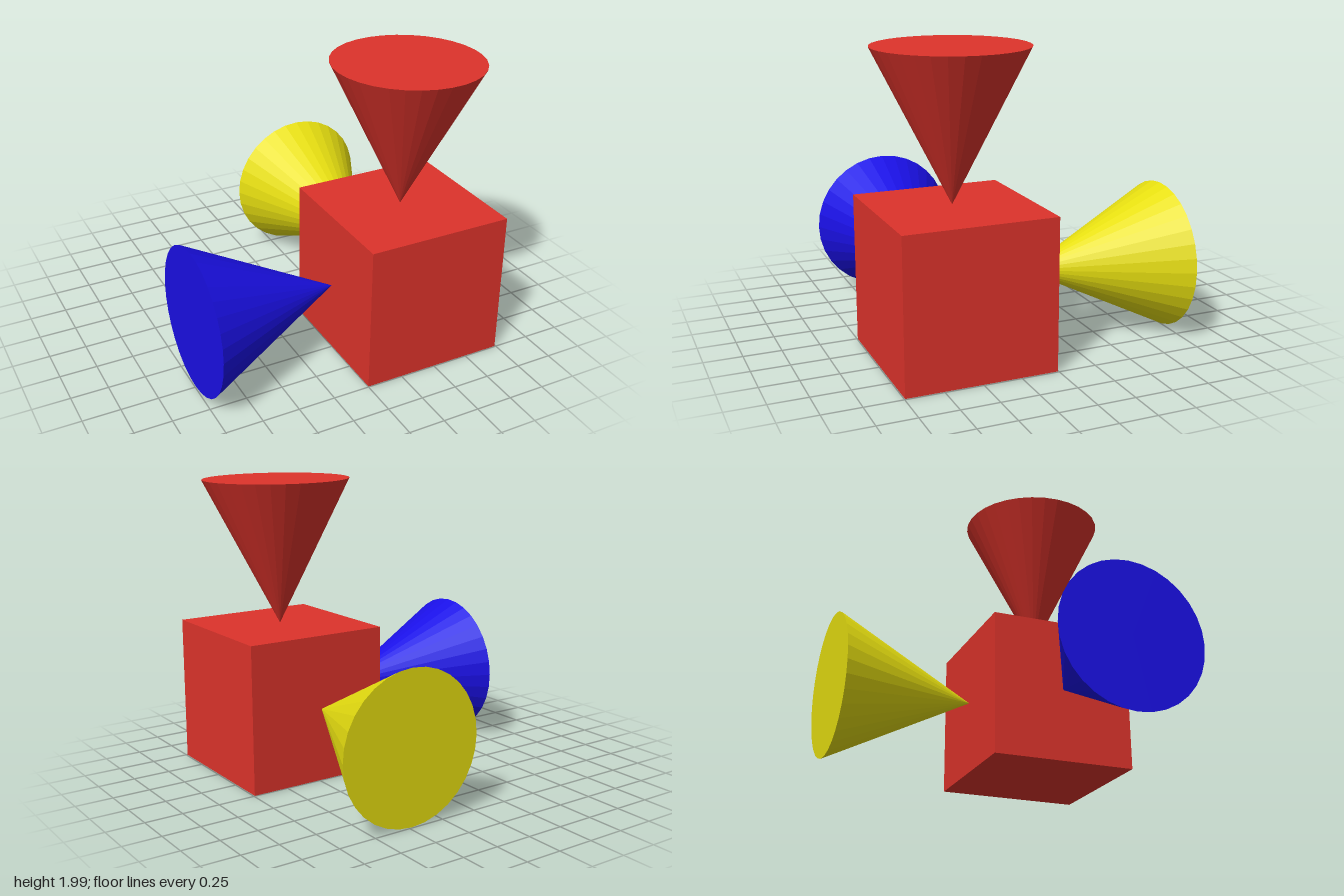
import * as THREE from 'three';

const paint = (color) => new THREE.MeshStandardMaterial({ color, flatShading: true });

// Closed cone running from its tip to the centre of its base
function cone(name, color, tip, base, radius) {
  const a = new THREE.Vector3(...tip), b = new THREE.Vector3(...base);
  const axis = a.clone().sub(b);
  const mesh = new THREE.Mesh(new THREE.ConeGeometry(radius, axis.length(), 32), paint(color));
  mesh.position.copy(a).add(b).multiplyScalar(0.5);
  mesh.quaternion.setFromUnitVectors(new THREE.Vector3(0, 1, 0), axis.normalize());
  mesh.name = name;
  return mesh;
}

export function createModel() {
  const model = new THREE.Group();
  model.name = 'cubeWithCones';

  // Central cube
  const side = 0.99;
  const cube = new THREE.Mesh(new THREE.BoxGeometry(side, side, side), paint(0xdd332b));
  cube.position.set(0.497, 0.5, 0.5);
  cube.name = 'cube';
  model.add(cube);

  // Cones whose tips touch the top, right and back faces
  const r = 0.493;
  model.add(
    cone('topCone', 0xdd332b, [0.492, 1.0, 0.502], [0.502, 1.986, 0.504], r),
    cone('rightCone', 0x1a10e6, [-0.008, 0.496, 0.496], [-0.992, 0.507, 0.496], r),
    cone('backCone', 0xe6de10, [0.478, 0.5, 0.002], [0.477, 0.498, -0.993], r),
  );
  return model;
}
